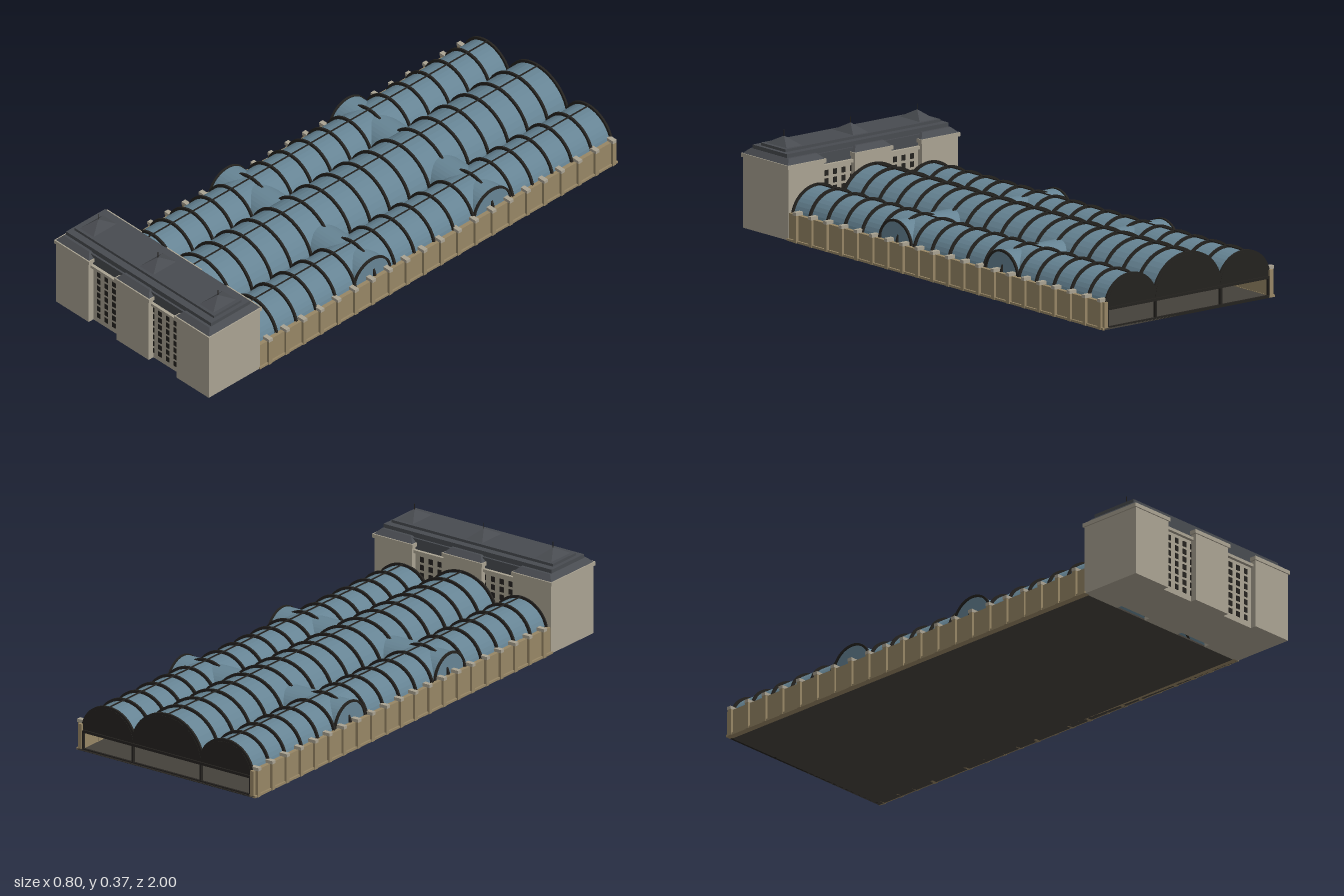
import * as THREE from 'three';

const mat = (color, extra = {}) => new THREE.MeshStandardMaterial({ color, ...extra });
const stone = mat(0xaaa392), brick = mat(0x978665), roofing = mat(0x484b50), iron = mat(0x24221f);
const glass = mat(0x668494, { side: THREE.DoubleSide, flatShading: true });
const paving = mat(0x45413b);

const SPRING = 0.075, BACK = -0.99, FRONT = 0.745;
const HALL = 0.87; // z centre of the front building

export function createModel() {
  const root = new THREE.Group();

  const group = (name, parent = root) => {
    const g = new THREE.Group();
    g.name = name;
    parent.add(g);
    return g;
  };
  const add = (parent, name, geo, material) => {
    const m = new THREE.Mesh(geo, material);
    m.name = name;
    parent.add(m);
    return m;
  };
  // Box given by its extents
  const box = (parent, name, x0, x1, y0, y1, z0, z1, material) => {
    const m = add(parent, name, new THREE.BoxGeometry(x1 - x0, y1 - y0, z1 - z0), material);
    m.position.set((x0 + x1) / 2, (y0 + y1) / 2, (z0 + z1) / 2);
    return m;
  };
  // Box whose top is inset: hipped roofs and pyramids
  const hip = (parent, name, cx, cz, y0, y1, w, d, topW, topD) => {
    const geo = new THREE.BoxGeometry(w, y1 - y0, d).toNonIndexed();
    const p = geo.attributes.position;
    for (let i = 0; i < p.count; i++) {
      if (p.getY(i) > 0) {
        p.setX(i, Math.sign(p.getX(i)) * topW / 2);
        p.setZ(i, Math.sign(p.getZ(i)) * topD / 2);
      }
    }
    geo.computeVertexNormals();
    const m = add(parent, name, geo, roofing);
    m.position.set(cx, (y0 + y1) / 2, cz);
    return m;
  };
  // Open half cylinder along z, springing from y = 0
  const vaultGeo = (rx, ry, length) => new THREE.CylinderGeometry(1, 1, length, 20, 1, true, Math.PI / 2, Math.PI)
    .rotateX(Math.PI / 2).scale(rx, ry, 1);
  // Half ring, or half disc when t is 0, centred on z = 0
  const archGeo = (rx, ry, t, depth) => {
    const s = new THREE.Shape();
    s.moveTo(rx + t, 0);
    s.absellipse(0, 0, rx + t, ry + t, 0, Math.PI, false, 0);
    if (t) {
      s.lineTo(-rx, 0);
      s.absellipse(0, 0, rx, ry, Math.PI, 0, true, 0);
    }
    s.closePath();
    return new THREE.ExtrudeGeometry(s, { depth, bevelEnabled: false, curveSegments: 20 }).translate(0, 0, -depth / 2);
  };

  // Train shed floor and side walls with pilasters
  const shed = group('shed');
  box(shed, 'floor', -0.39, 0.39, 0, 0.006, -1, FRONT, paving);
  for (const s of [-1, 1]) {
    const wall = group(s > 0 ? 'leftWall' : 'rightWall', shed);
    const side = (name, a, b, ...rest) => box(wall, name, Math.min(s * a, s * b), Math.max(s * a, s * b), ...rest);
    side('wallPanel', 0.372, 0.388, 0, 0.1, -1, 0.75, brick);
    side('plinth', 0.37, 0.395, 0, 0.008, -1, 0.75, brick);
    for (let i = 0; i < 21; i++) {
      const z = 0.7 - i * 0.084;
      side('pilaster', 0.37, 0.398, 0, 0.105, z - 0.008, z + 0.008, brick);
      side('pilasterCap', 0.368, 0.4, 0.1, 0.112, z - 0.009, z + 0.009, stone);
    }
  }

  // Three long glazed vaults with iron ribs, ridge rail and closed back gable
  const vaults = [
    { name: 'centreVault', x: 0, rx: 0.148, ry: 0.14 },
    { name: 'leftVault', x: 0.26, rx: 0.11, ry: 0.105 },
    { name: 'rightVault', x: -0.26, rx: 0.11, ry: 0.105 },
  ];
  for (const { name, x, rx, ry } of vaults) {
    const g = group(name, shed);
    g.position.set(x, SPRING, 0);
    add(g, 'glazing', vaultGeo(rx, ry, FRONT - BACK), glass).position.z = (FRONT + BACK) / 2;
    const ribGeo = archGeo(rx - 0.002, ry - 0.002, 0.012, 0.008);
    for (let i = 0; i < 19; i++) {
      add(g, 'rib', ribGeo, iron).position.z = BACK + 0.002 + i * 0.0962;
    }
    add(g, 'backGable', archGeo(rx, ry, 0, 0.006), iron).position.z = BACK;
    box(g, 'ridgeRail', -0.002, 0.002, ry + 0.006, ry + 0.01, BACK, FRONT, iron);
  }

  // Iron frame: lengthwise beams, back tie beam and posts
  for (const x of [-0.37, -0.15, 0.15, 0.37]) {
    box(shed, 'valleyBeam', x - 0.004, x + 0.004, SPRING - 0.008, SPRING + 0.006, BACK, FRONT, iron);
    box(shed, 'backPost', x - 0.004, x + 0.004, 0, SPRING, -0.998, -0.988, iron);
  }
  box(shed, 'backTieBeam', -0.37, 0.37, SPRING - 0.006, SPRING + 0.004, -0.998, -0.988, iron);
  box(shed, 'backSill', -0.37, 0.37, 0, 0.01, -1, -0.992, iron);

  // Cross vaults running from the side walls into the centre vault
  for (const z of [-0.41, 0.178]) {
    for (const s of [-1, 1]) {
      const g = group('crossVault', shed);
      g.position.set(s * 0.235, 0.09, z);
      g.rotation.y = s * Math.PI / 2;
      add(g, 'crossGlazing', vaultGeo(0.088, 0.086, 0.27), glass);
      add(g, 'crossRim', archGeo(0.084, 0.082, 0.008, 0.008), iron).position.z = 0.134;
      add(g, 'crossWindow', archGeo(0.086, 0.084, 0, 0.003), glass).position.z = 0.131;
    }
  }

  // Front building: recessed core between three projecting blocks
  const hall = group('frontBuilding');
  box(hall, 'core', -0.37, 0.37, 0, 0.236, HALL - 0.102, HALL + 0.102, stone);
  box(hall, 'coreCornice', -0.37, 0.37, 0.235, 0.246, HALL - 0.115, HALL + 0.115, stone);
  for (const [cx, w] of [[-0.307, 0.166], [0, 0.166], [0.307, 0.166]]) {
    const b = group('block', hall);
    box(b, 'blockWalls', cx - w / 2, cx + w / 2, 0, 0.26, HALL - 0.125, HALL + 0.125, stone);
    box(b, 'blockCornice', cx - w / 2 - 0.006, cx + w / 2 + 0.006, 0.258, 0.272, HALL - 0.13, HALL + 0.13, stone);
    hip(b, 'blockRoof', cx, HALL, 0.272, 0.291, w + 0.004, 0.25, w - 0.036, 0.21);
  }

  // Window grids on both long faces of the core
  const windowGeo = new THREE.BoxGeometry(0.017, 0.02, 0.004);
  for (const face of [-1, 1]) {
    for (const s of [-1, 1]) {
      for (let col = 0; col < 4; col++) {
        for (let row = 0; row < 7; row++) {
          add(hall, 'window', windowGeo, iron)
            .position.set(s * (0.196 - col * 0.039), 0.032 + row * 0.03, HALL + face * 0.102);
        }
      }
    }
  }

  // Stepped main roof with pyramids and spikes
  const roof = group('mainRoof', hall);
  hip(roof, 'roofBody', 0, HALL, 0.246, 0.286, 0.74, 0.206, 0.74, 0.206);
  box(roof, 'roofStep', -0.371, 0.371, 0.286, 0.305, HALL - 0.095, HALL + 0.095, roofing);
  box(roof, 'roofTop', -0.356, 0.356, 0.305, 0.315, HALL - 0.068, HALL + 0.068, roofing);
  for (const x of [-0.306, 0, 0.306]) {
    hip(roof, 'pyramid', x, HALL, 0.315, 0.345, 0.07, 0.112, 0.002, 0.002);
    const spike = add(roof, 'spike', new THREE.CylinderGeometry(0.0015, 0.0015, 0.025, 6), iron);
    spike.position.set(x, 0.354, HALL);
  }

  return root;
}
